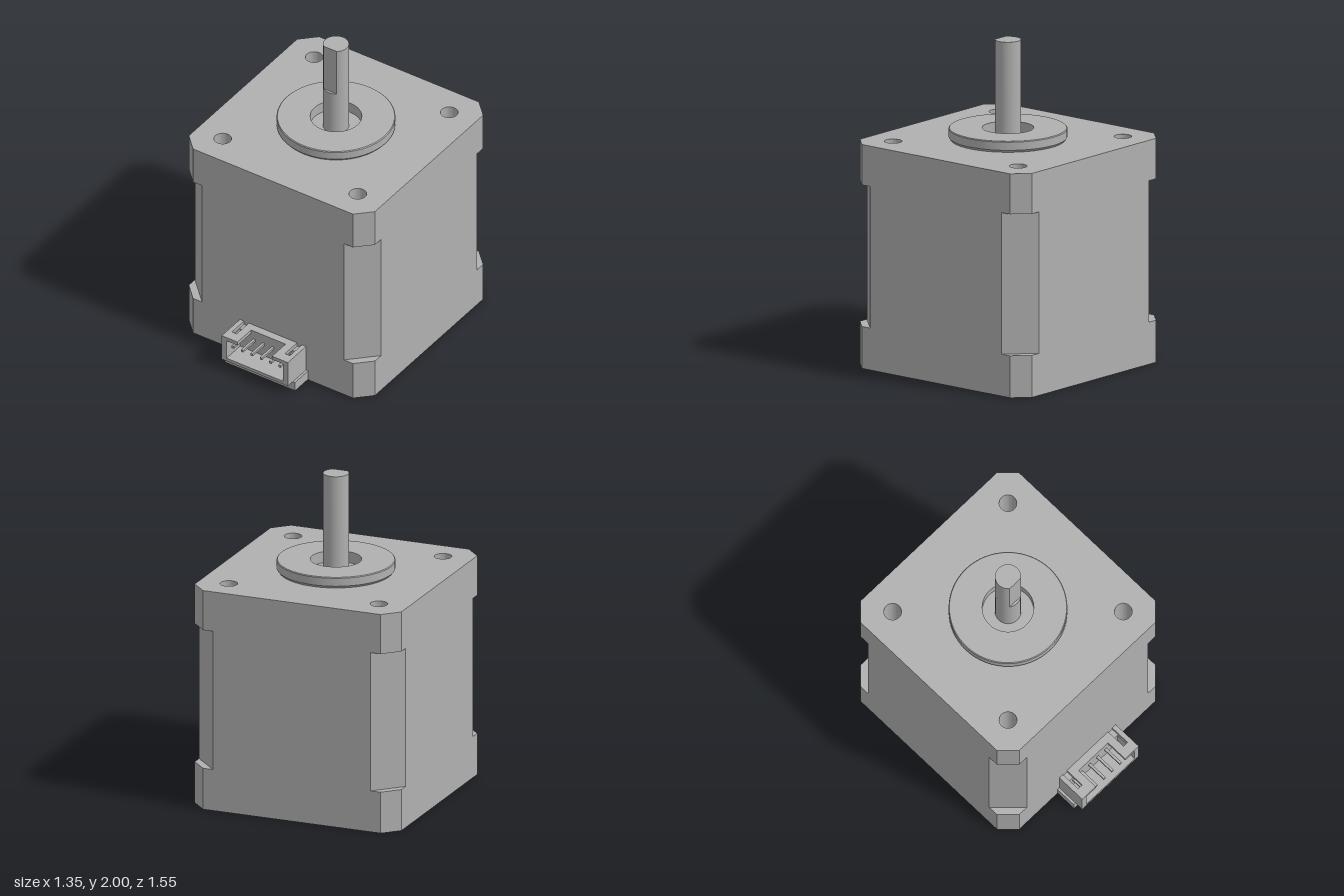
import * as THREE from 'three';
import { toCreasedNormals } from 'three/addons/utils/BufferGeometryUtils.js';

const grey = new THREE.MeshStandardMaterial({ color: 0xb0b0b0 });
grey.name = 'plain grey';

const HALF = 0.675, BOLT = 0.49;

function addMesh(parent, name, geometry) {
  const mesh = new THREE.Mesh(geometry, grey);
  mesh.name = name;
  parent.add(mesh);
  return mesh;
}

// Box given by its lower and upper limits
function addBox(parent, name, [x0, x1], [y0, y1], [z0, z1]) {
  const g = new THREE.BoxGeometry(x1 - x0, y1 - y0, z1 - z0);
  g.translate((x0 + x1) / 2, (y0 + y1) / 2, (z0 + z1) / 2);
  return addMesh(parent, name, g);
}

// Upright slab from a plan outline (shape y points to -z)
function addSlab(parent, name, shape, y0, y1) {
  const g = new THREE.ExtrudeGeometry(shape, { depth: y1 - y0, bevelEnabled: false, curveSegments: 32 });
  g.rotateX(-Math.PI / 2).translate(0, y0, 0);
  return addMesh(parent, name, toCreasedNormals(g, 0.6));
}

function polygon(points) {
  return new THREE.Shape(points.map(([x, y]) => new THREE.Vector2(x, y)));
}

function hole(x, y, r) {
  return new THREE.Path().absarc(x, y, r, 0, Math.PI * 2, true);
}

// Square with cut corners, four bolt holes and an optional centre hole
function plan(cut, boltRadius, centreRadius = 0) {
  const a = HALF, b = HALF - cut;
  const s = polygon([[a, -b], [a, b], [b, a], [-b, a], [-a, b], [-a, -b], [-b, -a], [b, -a]]);
  for (const x of [-BOLT, BOLT]) for (const y of [-BOLT, BOLT]) s.holes.push(hole(x, y, boltRadius));
  if (centreRadius) s.holes.push(hole(0, 0, centreRadius));
  return s;
}

function createMotor() {
  const motor = new THREE.Group();
  motor.name = 'motorBody';

  // Housing: counterbored base, end caps and a middle with deeper corner cuts
  addSlab(motor, 'basePlate', plan(0.095, 0.09, 0.11), 0, 0.07);
  addSlab(motor, 'lowerCap', plan(0.095, 0.053), 0.07, 0.26);
  addSlab(motor, 'middleCore', plan(0.16, 0.053), 0.26, 1.135);
  addSlab(motor, 'upperCap', plan(0.095, 0.053), 1.135, 1.385);

  // Raised ring around the shaft
  const ring = [[0.345, 1.385], [0.357, 1.4], [0.357, 1.45], [0.352, 1.455], [0.155, 1.455], [0.155, 1.385]]
    .map(([r, y]) => new THREE.Vector2(r, y));
  addMesh(motor, 'pilotRing', toCreasedNormals(new THREE.LatheGeometry(ring, 64), 0.5));

  // Shaft: round below, D-shaped above
  const R = 0.078, flat = Math.acos(0.062 / R);
  addMesh(motor, 'shaft', new THREE.CylinderGeometry(R, R, 0.3, 40).translate(0, 1.53, 0));
  const d = new THREE.Shape().absarc(0, 0, R, -Math.PI / 2 + flat, Math.PI * 1.5 - flat, false);
  d.closePath();
  addSlab(motor, 'shaftFlatEnd', d, 1.68, 2);
  return motor;
}

function createConnector() {
  const plug = new THREE.Group();
  plug.name = 'connector';
  const back = 0.575, front = 0.77;

  addBox(plug, 'connectorFoot', [-0.255, 0.255], [0.005, 0.068], [back - 0.02, 0.715]);
  addBox(plug, 'connectorFloor', [-0.24, 0.24], [0.068, 0.09], [back, front]);
  addBox(plug, 'connectorBack', [-0.205, 0.205], [0.09, 0.22], [back, 0.625]);
  for (const s of [-1, 1]) {
    const x = [s * 0.205, s * 0.24].sort((p, q) => p - q);
    addBox(plug, 'connectorSide', x, [0.09, 0.22], [back, front]);
  }

  // Top wall with a front notch and two slots at the back
  const half = [[0.125, 0.625], [0.125, front], [0.24, front], [0.24, back],
    [0.21, back], [0.21, 0.705], [0.175, 0.705], [0.175, back]];
  const outline = [...half, ...half.map(([x, z]) => [-x, z]).reverse()].map(([x, z]) => [x, -z]);
  addSlab(plug, 'connectorTop', polygon(outline), 0.22, 0.245);

  // Contact pins
  for (let i = 0; i < 6; i++) {
    const x = (i - 2.5) * 0.068;
    addBox(plug, 'pin', [x - 0.008, x + 0.008], [0.17, 0.186], [0.61, 0.755]);
  }
  return plug;
}

export function createModel() {
  const model = new THREE.Group();
  model.name = 'stepperMotor';
  const motor = createMotor();
  motor.position.z = -0.1;
  model.add(motor, createConnector());
  return model;
}
